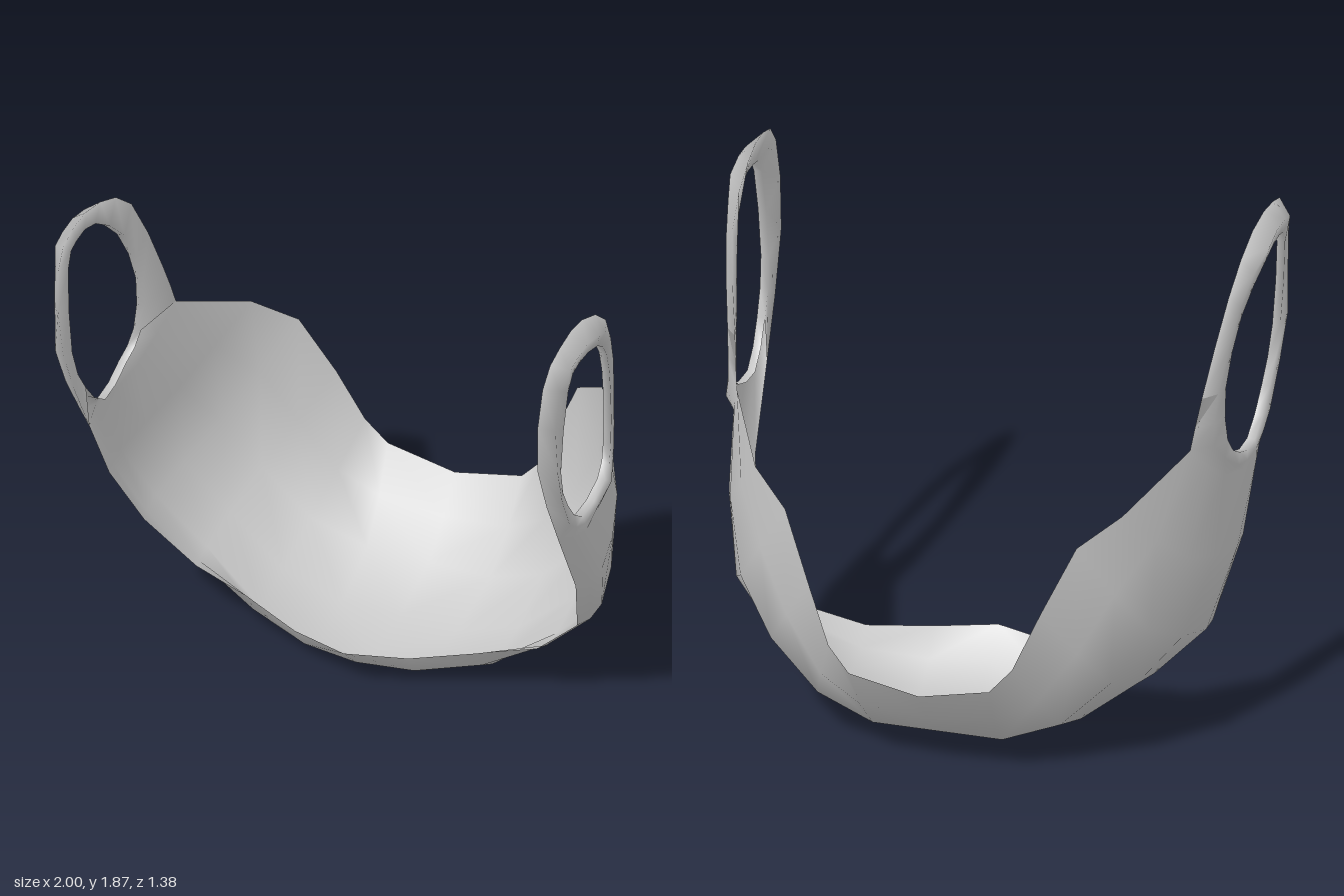
import * as THREE from 'three';
import { mergeVertices } from 'three/addons/utils/BufferGeometryUtils.js';

// Samples a smooth curve at its control points and halfway between them
function smooth(points, closed = false) {
  const vectors = points.map((p) => new THREE.Vector3(...p));
  const curve = new THREE.CatmullRomCurve3(vectors, closed, 'catmullrom', 0.5);
  const samples = curve.getPoints(2 * (closed ? points.length : points.length - 1));
  return closed ? samples.slice(0, -1) : samples;
}

// Cross-sections of one half, centre to side, each from the front lip under to the upper edge
const sections = [
  [[0, .165, .29], [0, 0, .05], [0, .1, -.46], [0, .345, -.687]],
  [[.22, .16, .22], [.21, 0, .04], [.24, .1, -.46], [.26, .4, -.687]],
  [[.44, .18, .12], [.45, .065, 0], [.45, .18, -.44], [.34, .49, -.67]],
  [[.66, .24, .09], [.68, .23, -.05], [.63, .36, -.42], [.43, .7, -.62]],
  [[.84, .42, .14], [.865, .42, -.02], [.76, .56, -.36], [.54, .94, -.54]],
  [[.905, .7, .3], [.935, .69, .13], [.85, .78, -.19], [.68, 1.04, -.44]],
  [[.91, .99, .46], [.952, .96, .31], [.91, 1, .05], [.84, 1.18, -.14]],
].map((points) => smooth(points));

// Outer edge of the ear loop between the ends of the last section
const loopPoints = [
  [.92, 1.42, .67], [.94, 1.77, .67], [.945, 1.865, .53],
  [.935, 1.85, .31], [.92, 1.7, .07], [.865, 1.36, -.08],
];

// Ear opening as y, z pairs
const openingPoints = [
  [1.16, .47], [1.36, .56], [1.7, .545], [1.77, .46], [1.745, .3],
  [1.6, .13], [1.36, .03], [1.15, .04], [1.06, .13], [1.02, .32],
];

// How far the side bulges out at a given height and depth
function bulge(y, z) {
  const byHeight = .95 + .064 * (y - 1);
  const byBack = z < .06 ? .92 + .4 * z : .944 + .23 * (z - .06);
  const byFront = 1 - .42 * (z - .56);
  return Math.min(1, byHeight, byBack, byFront);
}

function buildShell() {
  const positions = [];
  // Adds a quad and its mirror image
  const quad = (a, b, c, d) => {
    for (const p of [a, b, c, a, c, d]) positions.push(p.x, p.y, p.z);
    for (const p of [a, c, b, a, d, c]) positions.push(-p.x, p.y, p.z);
  };

  // Cupped body
  for (let i = 0; i < sections.length - 1; i++) {
    const s = sections[i], t = sections[i + 1];
    for (let j = 0; j < s.length - 1; j++) quad(s[j], s[j + 1], t[j + 1], t[j]);
  }

  // Ear loop: outer edge, ridge, opening edge and inner rim
  const side = sections[sections.length - 1];
  const front = side[0], back = side[side.length - 1];
  const strap = smooth([front.toArray(), ...loopPoints, back.toArray()]);
  const outer = [...strap, ...side.slice(1, -1).reverse()];
  const opening = smooth(openingPoints.map(([y, z]) => [bulge(y, z) - .01, y, z]), true);
  const ridge = outer.map((p, k) => {
    const middle = p.clone().lerp(opening[k], .5);
    return middle.setX(bulge(middle.y, middle.z));
  });
  const rim = opening.map((p) => new THREE.Vector3(p.x - .03, p.y, p.z));
  const layers = [outer, ridge, opening, rim];
  for (let k = 0; k < outer.length; k++) {
    const n = (k + 1) % outer.length;
    for (let l = 0; l < 3; l++) quad(layers[l][n], layers[l][k], layers[l + 1][k], layers[l + 1][n]);
    // Inner face of the strap
    if (k < strap.length - 1) quad(rim[n], rim[k], outer[k], outer[n]);
  }

  const soup = new THREE.BufferGeometry();
  soup.setAttribute('position', new THREE.Float32BufferAttribute(positions, 3));
  const geometry = mergeVertices(soup, 1e-4);
  geometry.computeVertexNormals();
  return geometry;
}

export function createModel() {
  const model = new THREE.Group();
  model.name = 'faceMask';
  const material = new THREE.MeshStandardMaterial({ color: 0xcccccc, side: THREE.DoubleSide });
  const shell = new THREE.Mesh(buildShell(), material);
  shell.name = 'maskShellWithEarLoops';
  model.add(shell);
  return model;
}
